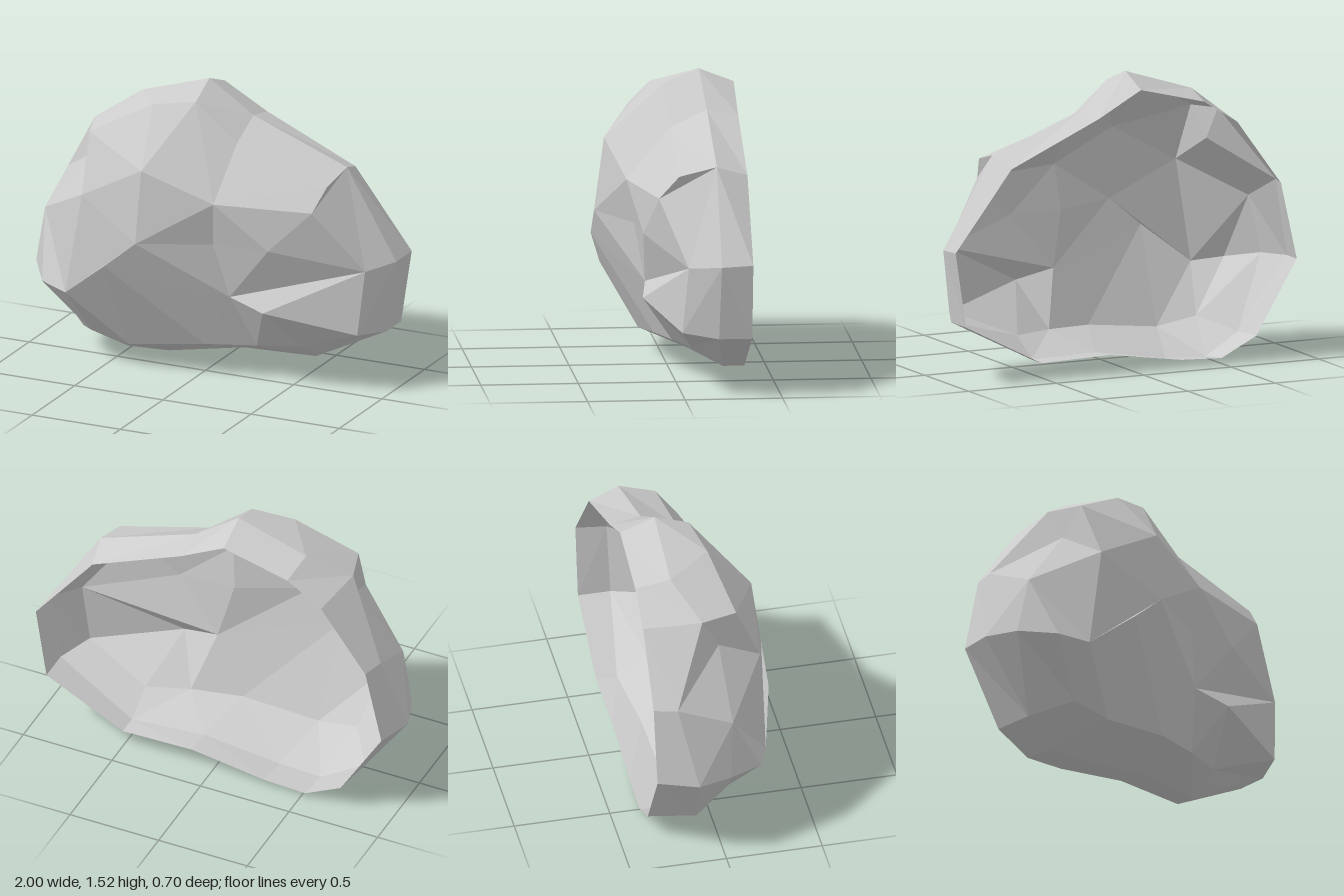
import * as THREE from 'three';

// Rings run clockwise seen from the front, starting at the right-hand (-x) side.
const BACK = -0.35;
const rim = [
  [-0.95, 0.5], [-0.86, 0.9], [-0.61, 1.24], [-0.42, 1.36], [-0.06, 1.45], [0.18, 1.32], [0.68, 1.1],
  [1.0, 0.69], [0.94, 0.3], [0.51, 0.08], [0.12, 0.09], [-0.29, 0.03], [-0.52, 0.02], [-0.72, 0.12],
].map(([x, y]) => [x, y, BACK]);

// Widest outline of the boulder
const girth = [
  [-1.0, 0.48, -0.14], [-0.89, 0.9, -0.23], [-0.65, 1.26, -0.05], [-0.44, 1.4, -0.17], [-0.06, 1.52, -0.17],
  [0.18, 1.35, -0.19], [0.71, 1.15, -0.19], [0.99, 0.68, -0.19], [0.94, 0.3, -0.18], [0.51, 0.08, -0.24],
  [0.12, 0.08, -0.2], [-0.29, 0.01, -0.17], [-0.52, 0.0, -0.17], [-0.74, 0.1, -0.1],
];

// Shoulder where the sides turn into the front
const shoulder = [
  [-0.94, 0.47, 0.04], [-0.88, 0.77, 0.06], [-0.63, 1.09, 0.04], [-0.59, 1.25, 0.14],
  [-0.27, 1.42, 0.06], [-0.05, 1.45, 0.01], [0.18, 1.26, 0.0], [0.69, 1.1, 0.0], [0.65, 0.98, 0.1],
  [0.89, 0.66, -0.03], [0.86, 0.32, 0.0], [0.51, 0.18, -0.08], [0.29, 0.18, 0.0], [0.03, 0.17, 0.07],
  [-0.38, 0.12, 0.11], [-0.6, 0.16, 0.1],
];

// Front face and the spine across its middle
const face = [
  [-0.66, 0.41, 0.28], [-0.57, 0.95, 0.27], [-0.22, 1.14, 0.3], [0.15, 0.99, 0.22],
  [0.43, 0.76, 0.16], [0.2, 0.47, 0.13], [-0.41, 0.61, 0.35],
];
const spine = [[-0.23, 0.76, 0.35], [0.13, 0.76, 0.18]];

// The front face with two spurs: a cheek on the right-hand side and a ledge below the notch
const cheek = [-0.82, 0.43, 0.22];
const ledge = [0.4, 0.42, 0.16];
const spurredFace = [cheek, ...face.slice(0, 6), ledge, face[5], face[6], face[0]];

// Joins two closed rings; each step moves on along the outer (o) or inner (i) ring.
function stitch(outer, inner, steps) {
  const triangles = [];
  let i = 0;
  let j = 0;
  for (const step of steps.replaceAll(' ', '')) {
    const a = outer[i % outer.length];
    const b = inner[j % inner.length];
    if (step === 'o') triangles.push(outer[++i % outer.length], a, b);
    else triangles.push(a, b, inner[++j % inner.length]);
  }
  return triangles;
}

export function createModel() {
  const stone = new THREE.MeshStandardMaterial({ color: 0xcccccc, flatShading: true, side: THREE.DoubleSide });
  stone.name = 'light stone grey';
  const group = new THREE.Group();
  group.name = 'boulder';

  // Open-backed shell, built from the back rim to the front
  const bands = {
    backBand: [rim, girth, 'oi'.repeat(14)],
    sideBand: [girth, shoulder, 'io io io io io io iii oi oi oi oi oi oi oi o'],
    frontBand: [shoulder, spurredFace, 'o ii oo i oo i ooo i o ii ooo i o i o i o i o'],
    frontFace: [face, spine, 'ooo i oo i oo'],
  };
  for (const [name, [outer, inner, steps]] of Object.entries(bands)) {
    const geometry = new THREE.BufferGeometry();
    geometry.setAttribute('position', new THREE.Float32BufferAttribute(stitch(outer, inner, steps).flat(), 3));
    geometry.computeVertexNormals();
    const mesh = new THREE.Mesh(geometry, stone);
    mesh.name = name;
    group.add(mesh);
  }
  return group;
}
